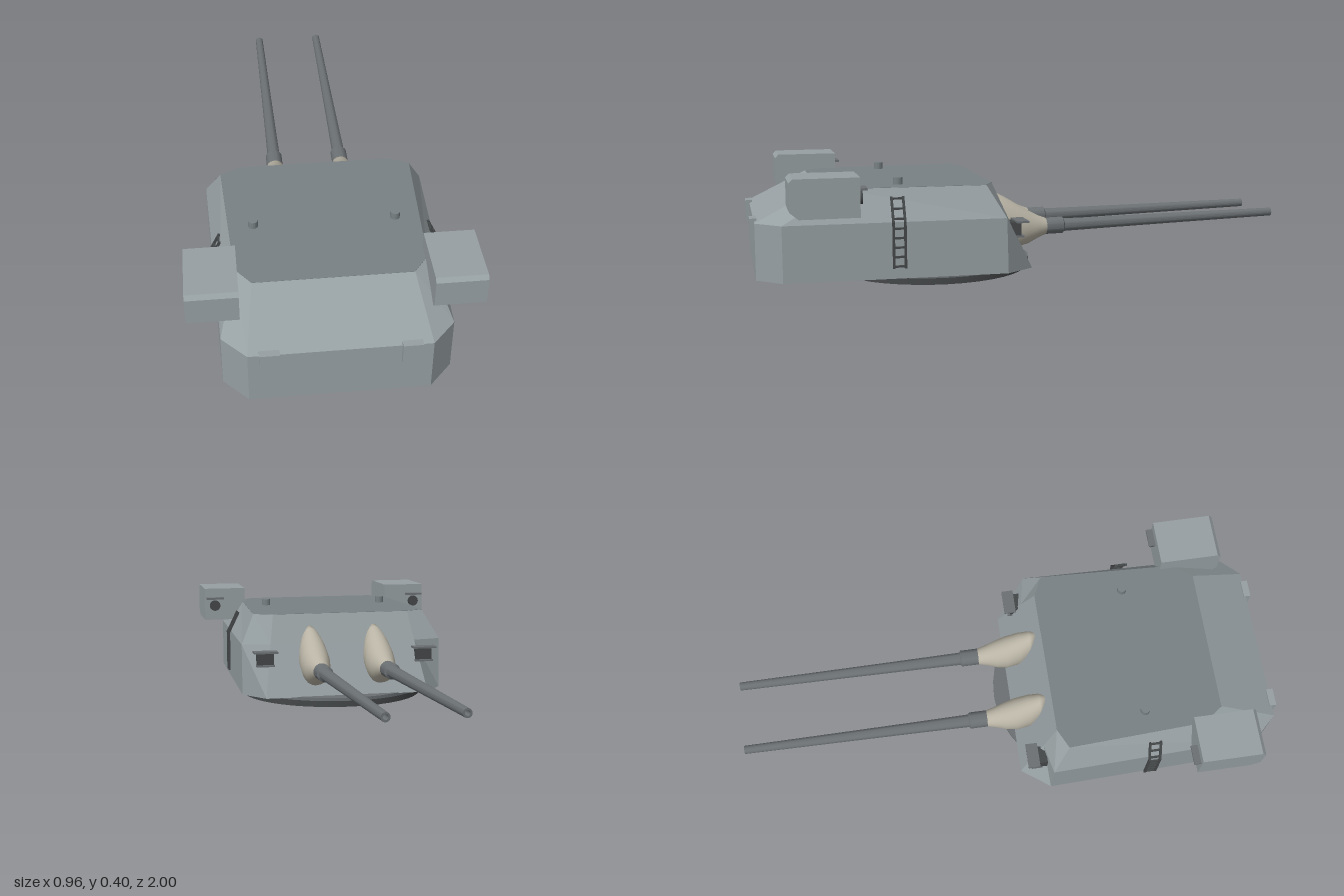
import * as THREE from 'three';
import { mergeVertices, toCreasedNormals } from 'three/addons/utils/BufferGeometryUtils.js';

const paint = (color, flatShading = false) => new THREE.MeshStandardMaterial({ color, flatShading });
const hullPaint = paint(0x969fa2, true);
const roofPaint = paint(0x788184, true);
const steel = paint(0x6b7073);
const dark = paint(0x444748);
const canvas = paint(0xb8b3a4);

function add(parent, name, geometry, material, x = 0, y = 0, z = 0) {
  const mesh = new THREE.Mesh(geometry, material);
  mesh.name = name;
  mesh.position.set(x, y, z);
  parent.add(mesh);
  return mesh;
}

const box = (w, h, d) => new THREE.BoxGeometry(w, h, d);

// Skin between successive rings of equal point count, with optional flat ends
function loft(rings, capStart, capEnd) {
  const pos = [];
  const tri = (a, b, c) => pos.push(...a, ...b, ...c);
  const n = rings[0].length;
  for (let r = 0; r < rings.length - 1; r++) {
    for (let i = 0; i < n; i++) {
      const j = (i + 1) % n;
      const a = rings[r][i], b = rings[r][j], c = rings[r + 1][j], d = rings[r + 1][i];
      tri(a, d, c);
      tri(a, c, b);
    }
  }
  const first = rings[0], last = rings[rings.length - 1];
  for (let i = 1; i < n - 1; i++) {
    if (capStart) tri(first[0], first[i], first[i + 1]);
    if (capEnd) tri(last[0], last[i + 1], last[i]);
  }
  const g = new THREE.BufferGeometry();
  g.setAttribute('position', new THREE.Float32BufferAttribute(pos, 3));
  g.computeVertexNormals();
  return g;
}

// Octagonal plan at height y from the [x, z] corners of one side, front to rear
function octagon(half) {
  const left = half.map(([x, y, z]) => [x, y, z]);
  const right = half.map(([x, y, z]) => [-x, y, z]).reverse();
  return [...left, ...right];
}

// Canvas blast bag: elliptical sections growing from the sleeve into the face plate
function blastBag() {
  const sections = [ // z, half width, bottom, top
    [-0.08, 0.031, 0.12, 0.181], [-0.05, 0.038, 0.108, 0.192], [-0.01, 0.05, 0.087, 0.213],
    [0.03, 0.057, 0.078, 0.237], [0.08, 0.055, 0.09, 0.267], [0.12, 0.045, 0.12, 0.287],
    [0.145, 0.025, 0.17, 0.298]];
  const rings = sections.map(([z, rx, lo, hi]) => Array.from({ length: 24 }, (_, i) => {
    const t = i / 24 * Math.PI * 2;
    return [rx * Math.cos(t), (lo + hi) / 2 - (hi - lo) / 2 * Math.sin(t), z];
  }));
  const g = loft(rings, false, true);
  g.deleteAttribute('normal');
  const smooth = mergeVertices(g, 1e-5);
  smooth.computeVertexNormals();
  return smooth;
}

// Barrel with thick sleeve and hollow muzzle, turned about its axis
function barrel() {
  const profile = [[0.031, 0], [0.031, 0.145], [0.024, 0.15], [0.022, 0.3], [0.019, 0.6],
    [0.0155, 1], [0.009, 1], [0.009, 0.95], [0, 0.95]];
  const g = new THREE.LatheGeometry(profile.map(p => new THREE.Vector2(...p)), 20);
  return toCreasedNormals(g, 0.5);
}

// Rangefinder housing: side outline with cut rear corners, extruded across
function housing(width) {
  const s = new THREE.Shape([[-0.65, 0.265], [-0.65, 0.398], [-0.867, 0.398], [-0.88, 0.385],
    [-0.88, 0.29], [-0.85, 0.265]].map(p => new THREE.Vector2(...p)));
  const g = new THREE.ExtrudeGeometry(s, { depth: width, bevelEnabled: false });
  return g.rotateY(Math.PI / 2);
}

function ladder(side) {
  const group = new THREE.Group();
  group.name = 'ladder';
  const path = [[0.4, 0.075], [0.4, 0.23], [0.36, 0.312]];
  for (let k = 0; k < 2; k++) {
    const [x0, y0] = path[k], [x1, y1] = path[k + 1];
    for (const z of [0.491, 0.531]) {
      const rail = add(group, 'ladderRail', box(0.008, Math.hypot(x1 - x0, y1 - y0) + 0.004, 0.008),
        dark, side * (x0 + x1) / 2, (y0 + y1) / 2, z);
      rail.rotation.z = side * Math.atan2(x0 - x1, y1 - y0);
    }
  }
  for (let i = 0; i < 8; i++) {
    const y = 0.08 + i * 0.0325;
    const x = y < 0.23 ? 0.4 : 0.4 - (y - 0.23) * 0.49;
    add(group, 'ladderRung', box(0.007, 0.007, 0.044), dark, side * x, y, 0.511);
  }
  return group;
}

export function createModel() {
  const turret = new THREE.Group();
  turret.name = 'gunTurret';

  // Turning ring
  add(turret, 'baseRing', toCreasedNormals(new THREE.CylinderGeometry(0.36, 0.36, 0.026, 40), 0.5),
    dark, 0, 0.013, 0.335);
  add(turret, 'ringFlange', toCreasedNormals(new THREE.CylinderGeometry(0.37, 0.37, 0.012, 40), 0.5),
    steel, 0, 0.031, 0.335);

  // Armoured house: floor, eave and roof outlines
  const floor = octagon([[0.32, 0.035, 0.025], [0.397, 0.035, 0.13], [0.375, 0.035, 0.9], [0.295, 0.035, 0.985]]);
  const eave = octagon([[0.288, 0.23, 0.112], [0.397, 0.23, 0.135], [0.375, 0.23, 0.9], [0.295, 0.23, 0.985]]);
  const roof = octagon([[0.27, 0.34, 0.16], [0.342, 0.34, 0.195], [0.318, 0.34, 0.7], [0.265, 0.34, 0.77]]);
  add(turret, 'armourHouse', loft([floor, eave, roof], true, false), hullPaint);
  const lip = roof.map(([x, y, z]) => [x, y + 0.001, z]);
  add(turret, 'roof', loft([roof, lip], false, true), roofPaint);

  for (const side of [1, -1]) {
    // Gun and blast bag
    const gun = new THREE.Group();
    gun.name = 'gun';
    gun.position.x = side * 0.128;
    turret.add(gun);
    add(gun, 'barrel', barrel(), steel, 0, 0.149, 0).rotation.x = -Math.PI / 2 + 0.019;
    add(gun, 'blastBag', blastBag(), canvas);

    // Rangefinder housing with hooded lens
    const finder = new THREE.Group();
    finder.name = 'rangefinder';
    turret.add(finder);
    add(finder, 'rangefinderHousing', housing(0.17), hullPaint, side * 0.395 - 0.085);
    add(finder, 'lensHood', box(0.07, 0.008, 0.026), steel, side * 0.438, 0.357, 0.638);
    const lens = add(finder, 'lens', new THREE.CylinderGeometry(0.022, 0.022, 0.012, 20),
      dark, side * 0.438, 0.326, 0.645);
    lens.rotation.x = Math.PI / 2;

    // Sighting port on the face plate
    const port = new THREE.Group();
    port.name = 'sightPort';
    port.position.set(side * 0.315, 0.18, 0.08);
    turret.add(port);
    add(port, 'portHood', box(0.092, 0.007, 0.044), steel, 0, 0.027, -0.012);
    add(port, 'portBody', box(0.064, 0.05, 0.05), dark, 0, 0, 0.015);
    add(port, 'portSill', box(0.07, 0.007, 0.04), steel, 0, -0.026, 0);

    // Roof vent, rear locker and ladder
    add(turret, 'roofVent', toCreasedNormals(new THREE.CylinderGeometry(0.017, 0.017, 0.03, 16), 0.5),
      roofPaint, side * 0.243, 0.351, 0.49);
    add(turret, 'rearLocker', box(0.065, 0.077, 0.025), hullPaint, side * 0.226, 0.203, 0.9875);
    turret.add(ladder(side));
  }
  return turret;
}
